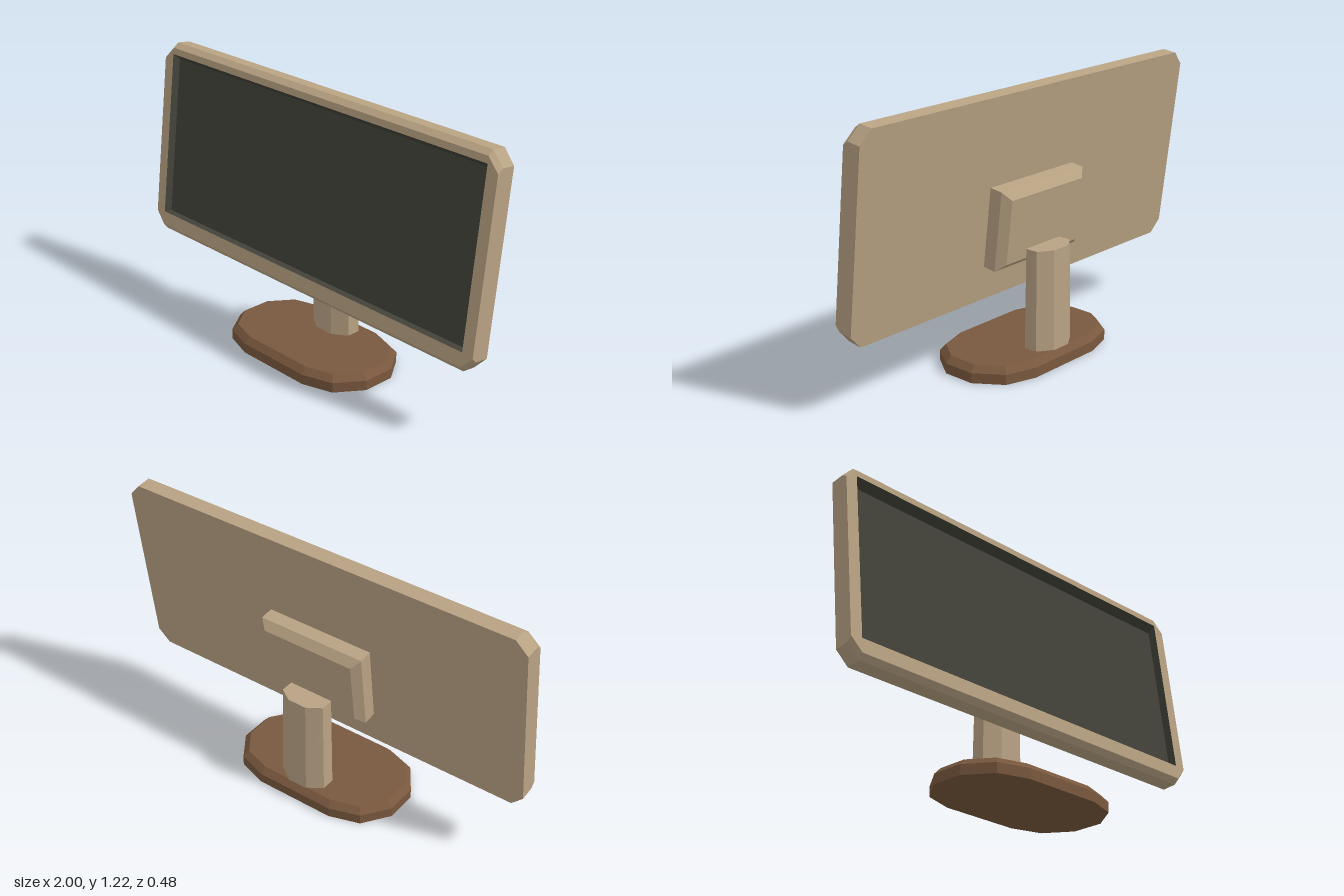
import * as THREE from 'three';

// Faceted skin through matching counter-clockwise outlines: sections = [[outline, z], ...]
function loft(sections, capStart, capEnd) {
  const rings = sections.map(([pts, z]) => pts.map(([x, y]) => [x, y, z]));
  const pos = [];
  const tri = (a, b, c) => pos.push(...a, ...b, ...c);
  for (let r = 0; r < rings.length - 1; r++) {
    const a = rings[r], b = rings[r + 1];
    a.forEach((p, i) => {
      const j = (i + 1) % a.length;
      tri(p, a[j], b[j]);
      tri(p, b[j], b[i]);
    });
  }
  const first = rings[0], last = rings[rings.length - 1];
  for (let i = 1; i < first.length - 1; i++) {
    if (capStart) tri(first[0], first[i + 1], first[i]);
    if (capEnd) tri(last[0], last[i], last[i + 1]);
  }
  const g = new THREE.BufferGeometry();
  g.setAttribute('position', new THREE.Float32BufferAttribute(pos, 3));
  g.computeVertexNormals();
  return g;
}

// Mirror one quadrant of points (counter-clockwise, x > 0, y > 0) into a closed outline
function mirrorOutline(quad) {
  const back = [...quad].reverse();
  return [
    ...quad,
    ...back.map(([x, y]) => [-x, y]),
    ...quad.map(([x, y]) => [-x, -y]),
    ...back.map(([x, y]) => [x, -y]),
  ];
}

const rect = (x, y0, y1) => [[-x, y0], [x, y0], [x, y1], [-x, y1]];
const scaled = (pts, sx, sy) => pts.map(([x, y]) => [x * sx, y * sy]);

export function createModel() {
  const casing = new THREE.MeshStandardMaterial({ color: 0xb8a283 });
  casing.name = 'beige casing';
  const glass = new THREE.MeshStandardMaterial({ color: 0x43423a });
  glass.name = 'dark screen';
  const wood = new THREE.MeshStandardMaterial({ color: 0x79583e });
  wood.name = 'brown base';

  const model = new THREE.Group();
  model.name = 'monitor';
  const add = (parent, name, geometry, material) => {
    const mesh = new THREE.Mesh(geometry, material);
    mesh.name = name;
    parent.add(mesh);
    return mesh;
  };

  // Display head, leaning back; its origin is the middle of the rear panel
  const head = new THREE.Group();
  head.name = 'displayHead';
  head.position.set(0, 0.7625, -0.043);
  head.rotation.x = -0.12;
  model.add(head);

  // Casing with cut corners and a bevelled front edge
  const outline = mirrorOutline([[1, 0.396], [0.945, 0.456]]);
  const frontOutline = scaled(outline, 1, 0.95);
  add(head, 'casing', loft([[outline, 0], [outline, 0.066], [frontOutline, 0.09]], true, false), casing);

  // Front bezel around the opening
  const opening = rect(0.945, -0.368, 0.403);
  const toVectors = pts => pts.map(([x, y]) => new THREE.Vector2(x, y));
  const bezelShape = new THREE.Shape(toVectors(frontOutline));
  bezelShape.holes.push(new THREE.Path(toVectors(opening)));
  add(head, 'bezel', new THREE.ShapeGeometry(bezelShape).translate(0, 0, 0.09), casing);

  // Recessed screen, with a sloping upper wall
  const panel = rect(0.945, -0.368, 0.377);
  add(head, 'screen', loft([[opening, 0.09], [panel, 0.05]], false, true), glass);

  // Rear mounting block
  const rim = rect(0.26, -0.3, 0.06);
  const rear = rect(0.225, -0.267, 0.025);
  add(head, 'mountBlock', loft([[rear, -0.095], [rim, -0.062], [rim, 0.002]], true, true), casing);

  // Tapered eight-sided neck
  const neckOutline = mirrorOutline([[0.115, 0.032], [0.048, 0.077]]);
  const neck = add(model, 'neck',
    loft([[neckOutline, 0.06], [scaled(neckOutline, 0.94, 0.92), 0.53]], true, true), casing);
  neck.rotation.x = -Math.PI / 2;
  neck.position.z = -0.142;

  // Long oval base with a bevelled top
  const foot = mirrorOutline([[0.415, 0.075], [0.33, 0.197], [0.19, 0.242]]);
  const footTop = mirrorOutline([[0.388, 0.069], [0.312, 0.176], [0.182, 0.217]]);
  const base = add(model, 'base', loft([[foot, 0], [foot, 0.046], [footTop, 0.075]], true, true), wood);
  base.rotation.x = -Math.PI / 2;

  return model;
}
